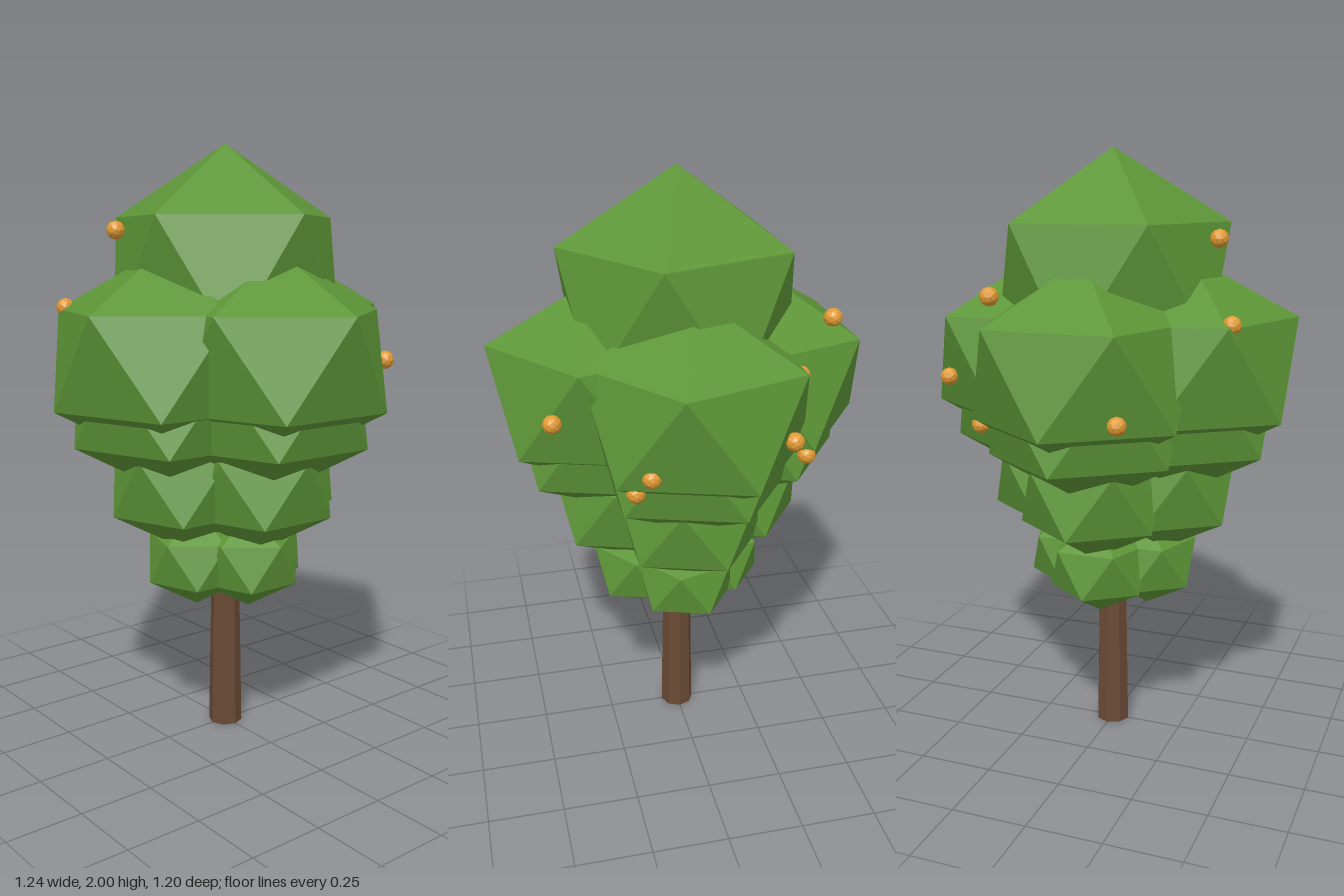
import * as THREE from 'three';

export function createModel() {
  const tree = new THREE.Group();
  tree.name = 'fruitTree';

  const mat = (name, color) => {
    const m = new THREE.MeshStandardMaterial({ color, flatShading: true });
    m.name = name;
    return m;
  };
  const bark = mat('bark brown', 0x6a4a35);
  const leaf = mat('leaf green', 0x5d9537);
  const orange = mat('fruit orange', 0xe09a33);

  const add = (parent, name, geometry, material, x, y, z) => {
    const mesh = new THREE.Mesh(geometry, material);
    mesh.name = name;
    mesh.position.set(x, y, z);
    parent.add(mesh);
    return mesh;
  };

  // Tapered trunk running up into the leaves
  add(tree, 'trunk', new THREE.CylinderGeometry(0.043, 0.058, 0.9, 8), bark, 0, 0.45, 0);

  // Icosahedron turned so that one corner points straight up
  const clumpGeo = new THREE.IcosahedronGeometry(1, 0);
  clumpGeo.rotateZ(-Math.atan(2 / (1 + Math.sqrt(5))));

  const foliage = new THREE.Group();
  foliage.name = 'foliage';
  tree.add(foliage);
  const clump = (name, radius, height, x, y, z) =>
    add(foliage, name, clumpGeo, leaf, x, y, z).scale.set(radius, height, radius);

  // Four tiers of four clumps: [centre height, offset from axis, radius, half height]
  const tiers = [
    [0.626, 0.126, 0.186, 0.1655],
    [0.899, 0.182, 0.268, 0.233],
    [1.174, 0.232, 0.358, 0.311],
    [1.312, 0.26, 0.4, 0.348],
  ];
  tiers.forEach(([y, offset, radius, height], i) => {
    for (const [dx, dz] of [[1, 0], [0, 1], [-1, 0], [0, -1]]) {
      clump(`leafTier${i + 1}`, radius, height, dx * offset, y, dz * offset);
    }
  });

  // Crown
  clump('crown', 0.43, 0.424, 0, 1.576, 0);

  // Small round fruits, some half sunk in the leaves
  const fruits = new THREE.Group();
  fruits.name = 'fruits';
  tree.add(fruits);
  const fruitGeo = new THREE.IcosahedronGeometry(0.03, 1);
  const spots = [
    [-0.077, 1.72, 0.38],
    [-0.445, 1.555, -0.23],
    [-0.245, 1.475, 0.47],
    [-0.5, 1.2, 0.2],
    [0.45, 1.31, -0.3],
    [-0.25, 1.264, -0.485],
    [0.19, 1.2, -0.505],
    [0.23, 1.135, -0.463],
    [-0.325, 1.4, -0.3],
    [-0.35, 1.135, -0.32],
  ];
  for (const p of spots) add(fruits, 'fruit', fruitGeo, orange, ...p);

  return tree;
}
